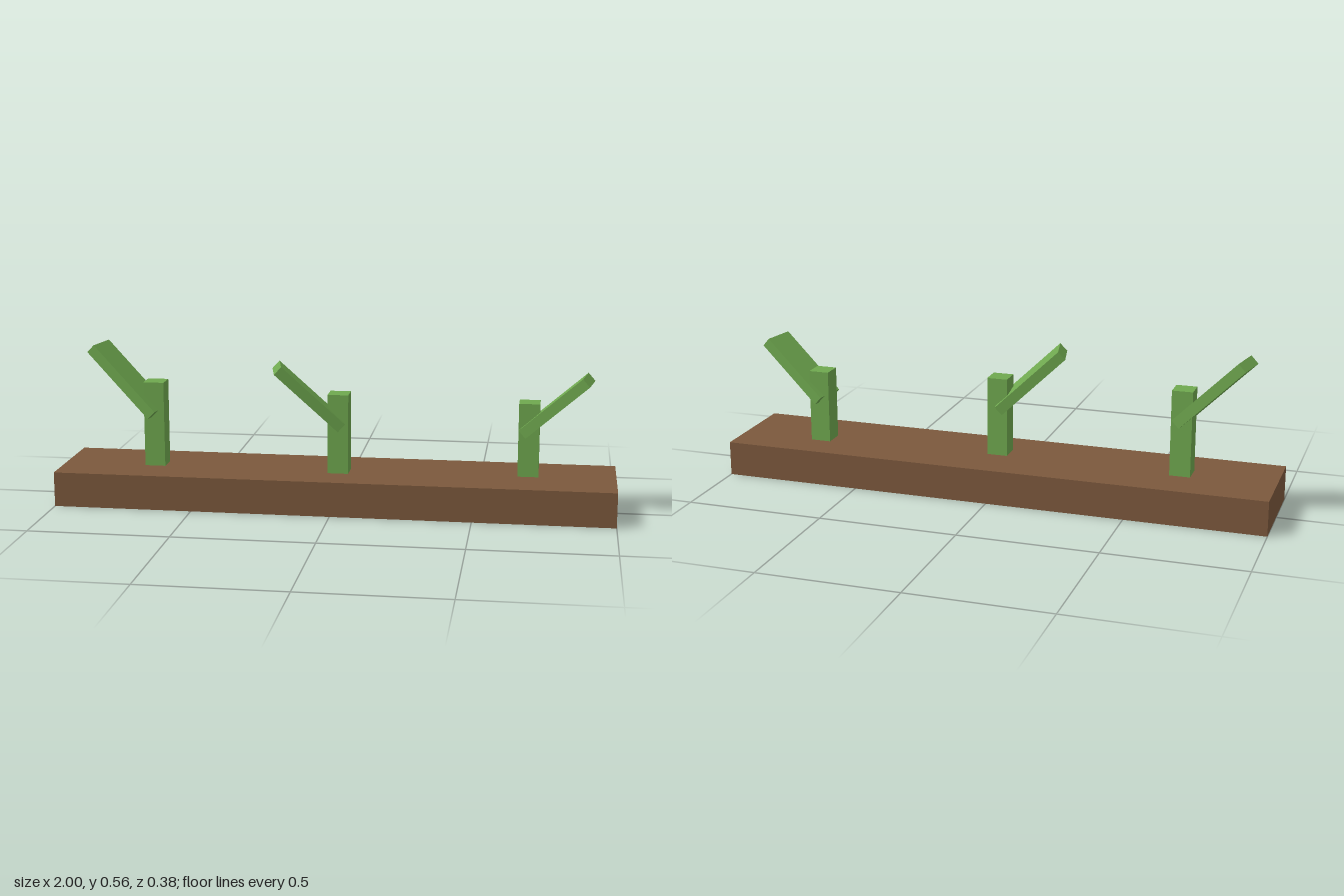
import * as THREE from 'three';

const SOIL_TOP = 0.125;

// Box shell without its bottom face
function openBox(w, h, d) {
  const geo = new THREE.BoxGeometry(w, h, d);
  const index = Array.from(geo.index.array);
  index.splice(18, 6); // the fourth face is the bottom
  geo.setIndex(index);
  geo.clearGroups();
  return geo;
}

export function createModel() {
  const brown = new THREE.MeshStandardMaterial({ color: 0x7b583c, side: THREE.DoubleSide });
  brown.name = 'soilBrown';
  const green = new THREE.MeshStandardMaterial({ color: 0x6fa84f });
  green.name = 'sproutGreen';

  const model = new THREE.Group();
  model.name = 'sproutBed';

  const add = (parent, name, geometry, material, x, y, z) => {
    const mesh = new THREE.Mesh(geometry, material);
    mesh.name = name;
    mesh.position.set(x, y, z);
    parent.add(mesh);
    return mesh;
  };

  // Hollow soil bed, open underneath
  add(model, 'soilBed', openBox(2, SOIL_TOP, 0.375), brown, 0, SOIL_TOP / 2, 0);

  // Each sprout: a square stem and one slanted leaf
  const sprouts = [
    { stem: [-0.663, 0.002], height: 0.309, leaf: [-0.77, 0.4345, -0.011], length: 0.329, tilt: -45, yaw: -10 },
    { stem: [0.013, 0.022], height: 0.287, leaf: [-0.094, 0.403, 0.05], length: 0.308, tilt: -43.2, yaw: 12.5 },
    { stem: [0.688, -0.025], height: 0.265, leaf: [0.783, 0.3835, -0.006], length: 0.296, tilt: 41.8, yaw: -9.4 },
  ];
  for (const s of sprouts) {
    const sprout = new THREE.Group();
    sprout.name = 'sprout';
    add(sprout, 'stem', new THREE.BoxGeometry(0.074, s.height, 0.074), green,
      s.stem[0], SOIL_TOP + s.height / 2, s.stem[1]);
    const leaf = add(sprout, 'leaf', new THREE.BoxGeometry(s.length, 0.0375, 0.125), green, ...s.leaf);
    leaf.rotation.set(0, THREE.MathUtils.degToRad(s.yaw), THREE.MathUtils.degToRad(s.tilt), 'YXZ');
    model.add(sprout);
  }
  return model;
}
